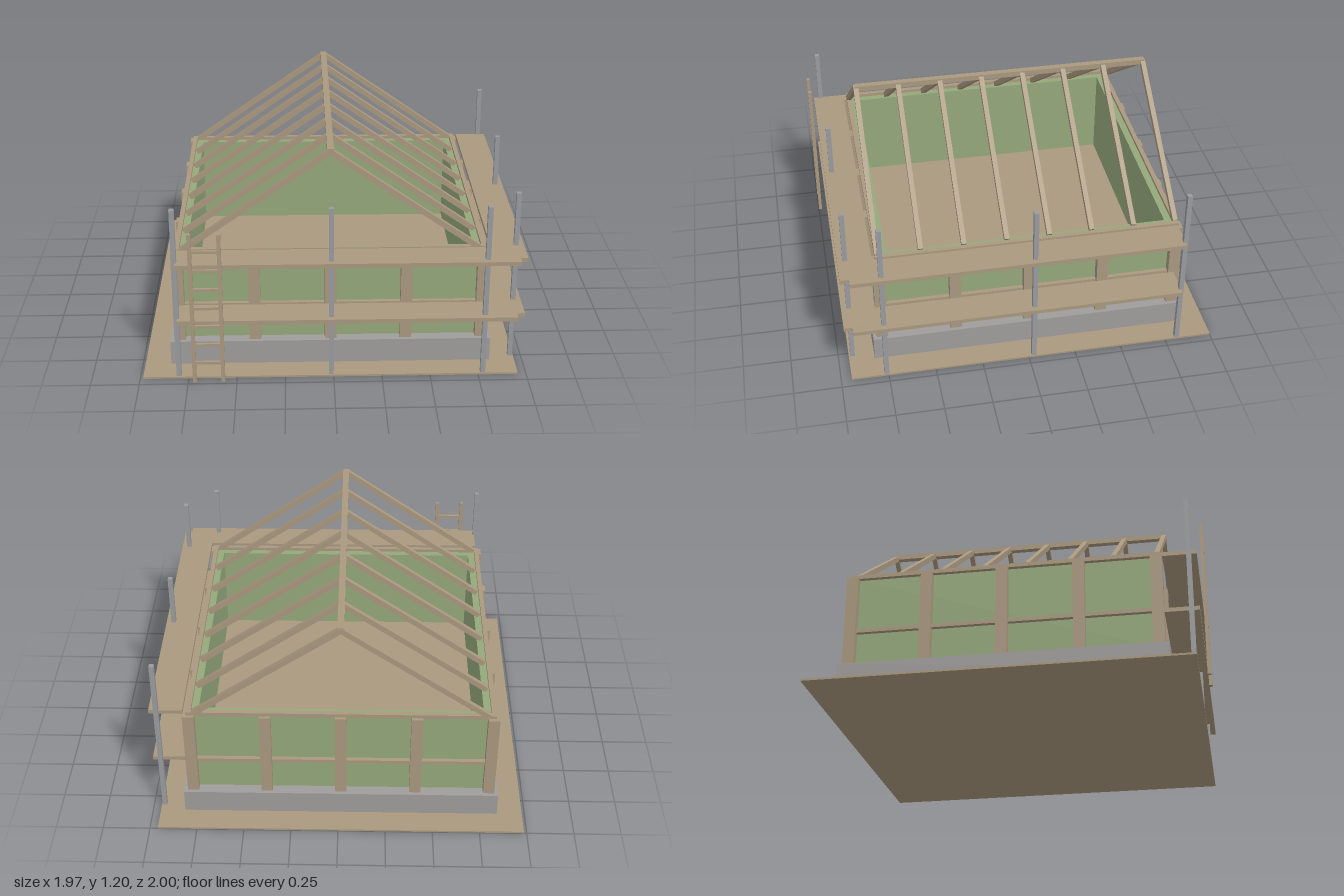
import * as THREE from 'three';

const mat = (name, color) => {
  const m = new THREE.MeshStandardMaterial({ color });
  m.name = name;
  return m;
};

export function createModel() {
  const timber = mat('timber', 0xa9987e);
  const green = mat('green wall panel', 0x94a87b);
  const concrete = mat('concrete', 0x9f9d9b);
  const steel = mat('steel pole', 0x9a9b9e);

  const model = new THREE.Group();
  model.name = 'houseFrame';
  const group = (name) => {
    const g = new THREE.Group();
    g.name = name;
    model.add(g);
    return g;
  };
  // box given by its minimum and maximum corners
  const box = (parent, name, material, x0, x1, y0, y1, z0, z1) => {
    const mesh = new THREE.Mesh(new THREE.BoxGeometry(x1 - x0, y1 - y0, z1 - z0), material);
    mesh.position.set((x0 + x1) / 2, (y0 + y1) / 2, (z0 + z1) / 2);
    mesh.name = name;
    parent.add(mesh);
    return mesh;
  };
  // square upright frame, open in the middle, centred on the house
  const CX = -0.0125, CZ = -0.0275;
  const ring = (parent, name, material, outer, inner, y0, y1) => {
    const square = (P, r) => new P([
      new THREE.Vector2(-r, -r), new THREE.Vector2(r, -r),
      new THREE.Vector2(r, r), new THREE.Vector2(-r, r)]);
    const shape = square(THREE.Shape, outer);
    shape.holes.push(square(THREE.Path, inner));
    const geo = new THREE.ExtrudeGeometry(shape, { depth: y1 - y0, bevelEnabled: false });
    geo.rotateX(-Math.PI / 2);
    const mesh = new THREE.Mesh(geo, material);
    mesh.position.set(CX, y0, CZ);
    mesh.name = name;
    parent.add(mesh);
  };

  // ground, foundation and floor
  const base = group('base');
  box(base, 'ground', timber, -0.985, 0.957, 0, 0.01, -1, 0.945);
  ring(base, 'foundation', concrete, 0.8375, 0.74, 0.005, 0.14);
  box(base, 'floor', timber, CX - 0.74, CX + 0.74, 0.01, 0.142, CZ - 0.74, CZ + 0.74);

  // walls with horizontal rails
  const H = 0.7875;
  const walls = group('walls');
  ring(walls, 'wallPanels', green, 0.777, 0.7375, 0.14, 0.64);
  ring(walls, 'middleRail', timber, H + 0.0125, 0.77, 0.325, 0.345);
  ring(walls, 'topPlate', timber, H + 0.0125, H - 0.0125, 0.635, 0.657);

  // wall posts around the perimeter
  const posts = group('wallPosts');
  for (let i = 0; i < 5; i++) {
    for (let j = 0; j < 5; j++) {
      if (i % 4 && j % 4) continue;
      const x = CX - H + (i * H) / 2, z = CZ - H + (j * H) / 2;
      box(posts, 'wallPost', timber, x - 0.03, x + 0.03, 0.14, 0.638, z - 0.03, z + 0.03);
    }
  }

  // ridge beam and rafters
  const roof = group('roofFrame');
  box(roof, 'ridgeBeam', timber, CX - 0.017, CX + 0.017, 1.168, 1.197, CZ - H - 0.008, CZ + H + 0.008);
  const run = 0.763, rise = 0.535;
  for (let i = 0; i < 8; i++) {
    const z = CZ - H + (i * 2 * H) / 7;
    for (const side of [-1, 1]) {
      const rafter = new THREE.Mesh(
        new THREE.BoxGeometry(Math.hypot(run, rise), 0.029, 0.026), timber);
      rafter.position.set(CX + (side * run) / 2, 0.648 + rise / 2, z);
      rafter.rotation.z = -side * Math.atan2(rise, run);
      rafter.name = 'rafter';
      roof.add(rafter);
    }
  }

  // scaffold decks and poles along the front and left sides
  const scaffold = group('scaffold');
  for (const y of [0.323, 0.638]) {
    box(scaffold, 'frontDeck', timber, -0.797, 0.94, y, y + 0.022, 0.79, 0.965);
    box(scaffold, 'sideDeck', timber, 0.805, 0.98, y, y + 0.0215, -0.815, 0.92);
  }
  for (let i = -1; i <= 1; i++) {
    const x = CX + i * H, z = CZ + i * H;
    box(scaffold, 'frontPole', steel, x - 0.0125, x + 0.0125, 0.01, 0.948, 0.912, 0.937);
    box(scaffold, 'sidePole', steel, 0.928, 0.953, 0.01, 0.948, z - 0.0125, z + 0.0125);
  }

  // ladder at the front
  const ladder = group('ladder');
  for (const x of [-0.715, -0.569]) {
    box(ladder, 'ladderRail', timber, x - 0.01, x + 0.01, 0.008, 0.842, 0.982, 1);
  }
  for (let i = 0; i < 7; i++) {
    const y = 0.12 + i * 0.1045;
    box(ladder, 'rung', timber, -0.707, -0.577, y - 0.007, y + 0.007, 0.984, 0.998);
  }
  return model;
}
